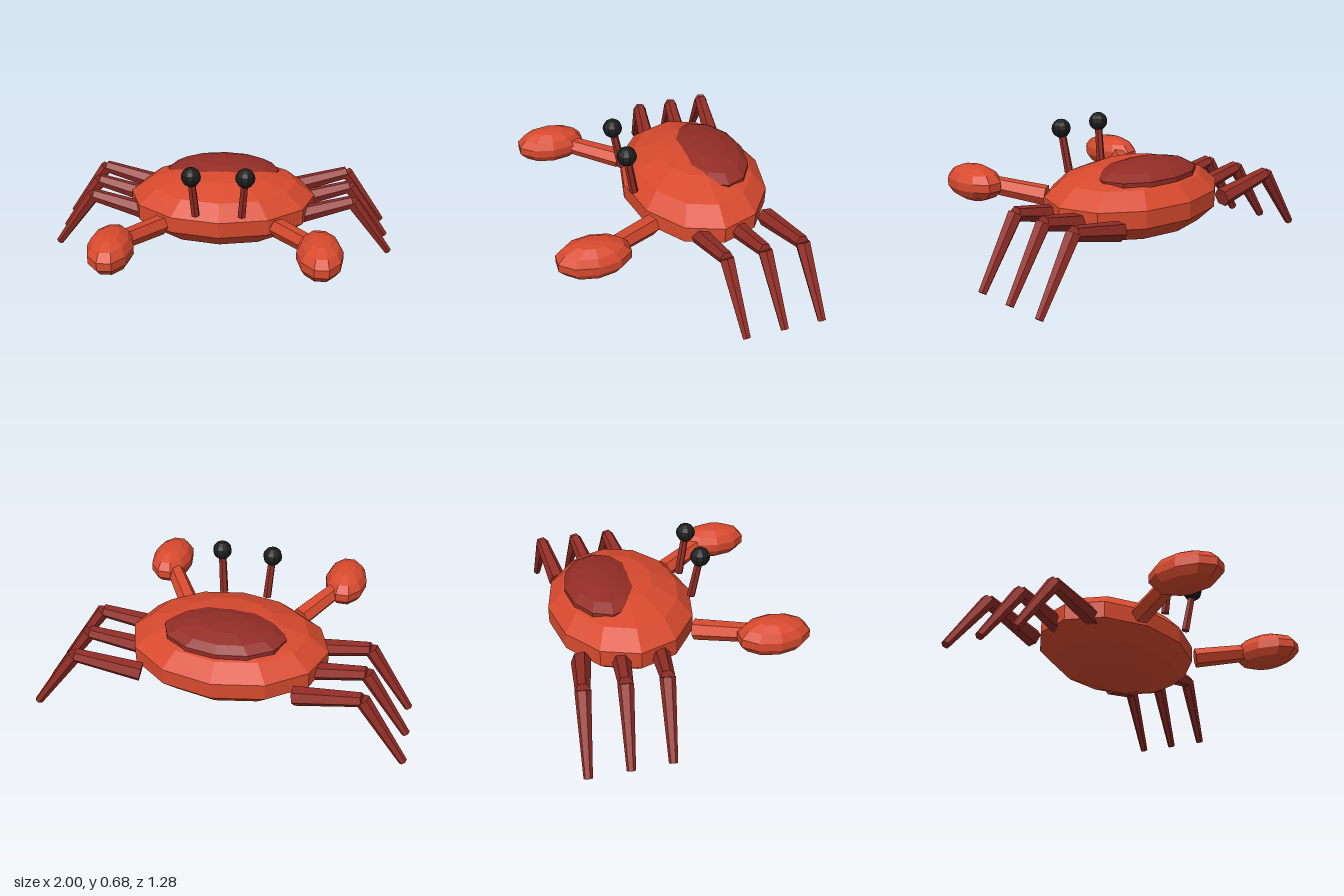
import * as THREE from 'three';

const shellRed = new THREE.MeshStandardMaterial({ color: 0xd84a2e, flatShading: true });
shellRed.name = 'shell red';
const darkRed = new THREE.MeshStandardMaterial({ color: 0x932d26, flatShading: true });
darkRed.name = 'dark red';
const eyeBlack = new THREE.MeshStandardMaterial({ color: 0x1c1c1c, flatShading: true });
eyeBlack.name = 'eye black';

// Faceted ellipsoid with the given centre and radii
function ellipsoid(name, material, centre, radii, across, rows) {
  const geometry = new THREE.SphereGeometry(1, across, rows).scale(...radii);
  const mesh = new THREE.Mesh(geometry, material);
  mesh.name = name;
  mesh.position.set(...centre);
  return mesh;
}

// Tapered rod running from one point to another
function rod(name, material, from, to, r0, r1, sides = 6) {
  const a = new THREE.Vector3(...from);
  const b = new THREE.Vector3(...to);
  const dir = b.clone().sub(a);
  const mesh = new THREE.Mesh(new THREE.CylinderGeometry(r1, r0, dir.length(), sides), material);
  mesh.name = name;
  mesh.position.copy(a).add(b).multiplyScalar(0.5);
  mesh.quaternion.setFromUnitVectors(new THREE.Vector3(0, 1, 0), dir.normalize());
  return mesh;
}

export function createModel() {
  const crab = new THREE.Group();
  crab.name = 'crab';

  // Body and the darker patch on its back
  crab.add(ellipsoid('body', shellRed, [0, 0.305, -0.25], [0.548, 0.203, 0.405], 12, 7));
  crab.add(ellipsoid('backPatch', darkRed, [0, 0.444, -0.345], [0.333, 0.083, 0.21], 12, 7));

  for (const s of [1, -1]) {
    const side = s > 0 ? 'left' : 'right';

    // Eye on its stalk
    crab.add(rod(side + 'EyeStalk', darkRed, [s * 0.125, 0.388, 0.122], [s * 0.143, 0.633, 0.163], 0.024, 0.021));
    crab.add(ellipsoid(side + 'Eye', eyeBlack, [s * 0.143, 0.633, 0.163], [0.053, 0.053, 0.053], 10, 8));

    // Claw arm and claw
    crab.add(rod(side + 'ClawArm', shellRed, [s * 0.325, 0.302, 0.085], [s * 0.49, 0.345, 0.345], 0.056, 0.05));
    crab.add(ellipsoid(side + 'Claw', shellRed, [s * 0.533, 0.347, 0.448], [0.122, 0.1, 0.2], 10, 7));

    // Three jointed legs
    for (let i = 0; i < 3; i++) {
      const z = -0.205 * i;
      const leg = new THREE.Group();
      leg.name = side + 'Leg' + (i + 1);
      const knee = [s * 0.745, 0.35, z - 0.172];
      leg.add(rod('upperLeg', darkRed, [s * 0.405, 0.268, z - 0.128], knee, 0.052, 0.037));
      leg.add(rod('lowerLeg', darkRed, knee, [s * 0.981, 0.018, z - 0.204], 0.04, 0.022));
      crab.add(leg);
    }
  }
  return crab;
}
